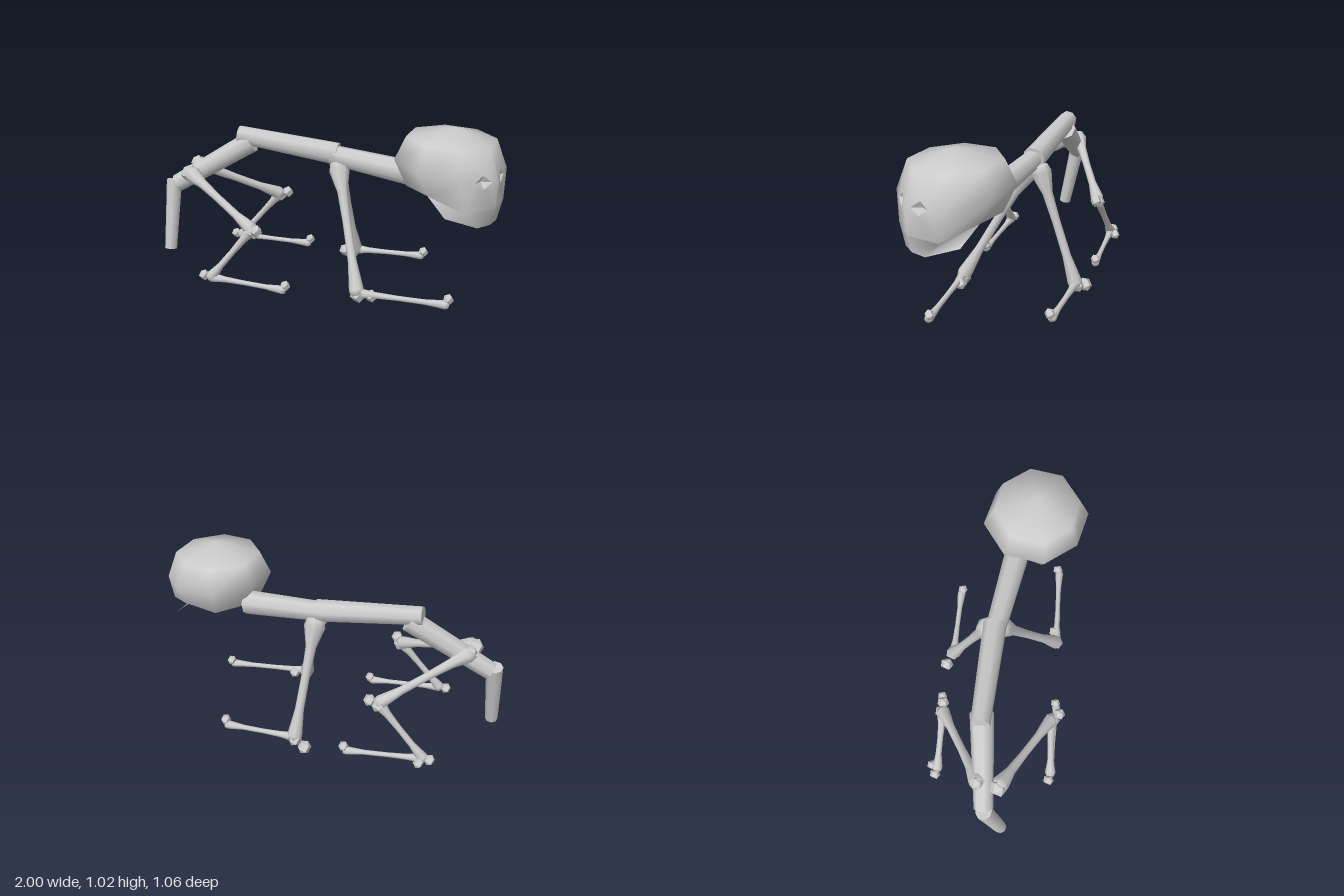
import * as THREE from 'three';

const mat = new THREE.MeshStandardMaterial({ color: 0xcccccc, side: THREE.DoubleSide });
const flat = new THREE.MeshStandardMaterial({ color: 0xcccccc, flatShading: true, side: THREE.DoubleSide });
const UP = new THREE.Vector3(0, 1, 0);
const V = (p) => new THREE.Vector3(...p);

function add(parent, name, geo, m = mat) {
  const mesh = new THREE.Mesh(geo, m);
  mesh.name = name;
  parent.add(mesh);
  return mesh;
}

// Places a geometry built along +y from the origin so that it runs from a towards b
function aim(mesh, a, b) {
  mesh.position.copy(V(a));
  mesh.quaternion.setFromUnitVectors(UP, V(b).sub(V(a)).normalize());
}

// Plain tapered rod, used for the spine and tail
function rod(parent, name, a, b, r0, r1) {
  const len = V(a).distanceTo(V(b));
  const geo = new THREE.CylinderGeometry(r1, r0, len, 8).translate(0, len / 2, 0);
  aim(add(parent, name, geo), a, b);
}

// Limb bone with a slim shaft and flared ends
function bone(parent, name, a, b, r0, rm, r1) {
  const len = V(a).distanceTo(V(b));
  const profile = [
    [0, -0.6 * r0], [r0 * 0.8, -0.4 * r0], [r0, 0.3 * r0], [rm * 1.25, len * 0.2],
    [rm, len * 0.45], [rm * 1.05, len * 0.75], [r1, len - 0.3 * r1],
    [r1 * 0.8, len + 0.4 * r1], [0, len + 0.6 * r1],
  ].map(([x, y]) => new THREE.Vector2(x, y));
  aim(add(parent, name, new THREE.LatheGeometry(profile, 8)), a, b);
}

// Small faceted joint
function knob(parent, p, r) {
  const mesh = add(parent, 'joint', new THREE.SphereGeometry(r, 5, 3), flat);
  mesh.position.copy(V(p));
  mesh.rotation.set(0.4, 0.3, 0.5);
}

// Leg: upper bone, optional shin, foot, with knobs at joints
function leg(parent, name, joints, radii, knobs) {
  const g = new THREE.Group();
  g.name = name;
  const names = joints.length === 4 ? ['thigh', 'shin', 'foot'] : ['upperLeg', 'foot'];
  names.forEach((n, i) => bone(g, n, joints[i], joints[i + 1], ...radii[i]));
  knobs.forEach(([p, r]) => knob(g, p, r));
  parent.add(g);
}

// Triangles that share points are indexed, so normals come out smooth
function surface(tris) {
  const list = [...new Set(tris.flat())];
  const geo = new THREE.BufferGeometry().setFromPoints(list);
  geo.setIndex(tris.flat().map((p) => list.indexOf(p)));
  geo.computeVertexNormals();
  return geo;
}

// Mirrored ring of eight points from five [x, y, z] points, front to back
const mirrorRing = (half) => [...half, ...half.slice(1, 4).reverse().map(([x, y, z]) => [-x, y, z])].map(V);
const wall = (lo, up, k) => {
  const n = (k + 1) % 8;
  return [[lo[k], lo[n], up[n]], [lo[k], up[n], up[k]]];
};

function buildHead() {
  const head = new THREE.Group();
  head.name = 'head';
  const brow = mirrorRing([[0, 0.965, 0.25], [0.175, 0.968, 0.175], [0.24, 0.975, 0], [0.175, 0.982, -0.175], [0, 0.985, -0.25]]);
  const wide = mirrorRing([[0, 0.795, 0.31], [0.218, 0.805, 0.22], [0.291, 0.828, 0], [0.215, 0.852, -0.22], [0, 0.862, -0.312]]);
  const base = mirrorRing([[0, 0.64, 0.3], [0.182, 0.64, 0.235], [0.222, 0.7, 0.02], [0.165, 0.7, -0.17], [0, 0.7, -0.21]]);
  const chin = mirrorRing([[0, 0.543, 0.275], [0.09, 0.543, 0.257], [0.225, 0.602, 0.14], [0, 0, 0], [0, 0, 0]]);
  const apex = V([0, 1.035, 0.02]);
  const skull = [], underside = [];
  for (let k = 0; k < 8; k++) {
    const n = (k + 1) % 8;
    skull.push([brow[k], brow[n], apex]);
    if (k > 0 && k < 7) underside.push([base[n], base[k], base[0]]);
    if (k !== 0 && k !== 7) {
      skull.push(...wall(wide, brow, k), ...wall(base, wide, k));
      continue;
    }
    // The two front panels each carry a diamond eye socket, set towards the middle of the face
    const [A, B, Ua, Ub, La, Lb] = [wide[k], wide[n], brow[k], brow[n], base[k], base[n]];
    const c = k === 0 ? 0.38 : 0.62;
    const mid = A.clone().lerp(B, c);
    const L = A.clone().lerp(B, c - 0.22), R = A.clone().lerp(B, c + 0.22);
    const T = mid.clone().lerp(Ua.clone().lerp(Ub, c), 0.22);
    const D = mid.clone().lerp(La.clone().lerp(Lb, c), 0.24);
    const P = mid.clone().multiply(V([0.9, 1, 0.9]));
    skull.push([A, L, Ua], [L, T, Ua], [T, Ub, Ua], [T, R, Ub], [R, B, Ub],
      [La, L, A], [La, D, L], [La, Lb, D], [Lb, R, D], [Lb, B, R]);
    add(head, 'eyeSocket', surface([[D, R, P], [R, T, P], [T, L, P], [L, D, P]]), flat);
  }
  add(head, 'skull', surface(skull));
  add(head, 'skullUnderside', surface(underside), flat);
  // Jaw: an open shell hanging from the front half of the skull
  add(head, 'jaw', surface([6, 7, 0, 1].flatMap((k) => wall(chin, base, k))));
  head.position.set(0.69, 0, 0.217);
  head.rotation.y = 0.85;
  return head;
}

export function createModel() {
  const model = new THREE.Group();
  model.name = 'creature';
  model.add(buildHead());

  // Spine and tail
  rod(model, 'tail', [-0.963, 0.155, -0.12], [-0.935, 0.575, -0.205], 0.037, 0.047);
  rod(model, 'lowerBack', [-0.915, 0.55, -0.205], [-0.45, 0.828, -0.175], 0.054, 0.066);
  rod(model, 'upperBack', [-0.525, 0.868, -0.188], [0.065, 0.79, -0.068], 0.054, 0.067);
  rod(model, 'neck', [0.03, 0.785, -0.07], [0.5, 0.725, 0.085], 0.058, 0.072);

  // Front legs
  const arm = [0.062, 0.025, 0.044], paw = [0.03, 0.015, 0.026];
  leg(model, 'leftFrontLeg',
    [[0.075, 0.72, -0.035], [0.19, 0.09, 0.325], [0.69, 0.06, 0.395]],
    [arm, paw],
    [[[0.27, 0.072, 0.325], 0.038], [[0.195, 0.075, 0.325], 0.045], [[0.7, 0.09, 0.385], 0.031]]);
  leg(model, 'rightFrontLeg',
    [[0.075, 0.73, -0.11], [0.175, 0.08, -0.335], [0.59, 0.075, -0.26]],
    [arm, paw],
    [[[0.11, 0.05, -0.385], 0.042], [[0.17, 0.07, -0.345], 0.042], [[0.6, 0.105, -0.25], 0.031]]);

  // Hind legs
  const thigh = [0.05, 0.023, 0.04], shin = [0.036, 0.018, 0.032], foot = [0.028, 0.014, 0.025];
  leg(model, 'leftHindLeg',
    [[-0.81, 0.645, -0.11], [-0.41, 0.42, 0.22], [-0.66, 0.115, 0.205], [-0.23, 0.078, 0.285]],
    [thigh, shin, foot],
    [[[-0.82, 0.64, -0.12], 0.056], [[-0.405, 0.41, 0.228], 0.045], [[-0.38, 0.43, 0.268], 0.036],
      [[-0.7, 0.12, 0.19], 0.033], [[-0.22, 0.103, 0.28], 0.03]]);
  leg(model, 'rightHindLeg',
    [[-0.79, 0.67, -0.225], [-0.31, 0.425, -0.405], [-0.575, 0.11, -0.475], [-0.13, 0.08, -0.42]],
    [thigh, shin, foot],
    [[[-0.79, 0.68, -0.23], 0.042], [[-0.31, 0.415, -0.41], 0.043], [[-0.26, 0.437, -0.4], 0.036],
      [[-0.61, 0.115, -0.49], 0.033], [[-0.55, 0.1, -0.505], 0.032], [[-0.12, 0.11, -0.42], 0.03]]);

  return model;
}
